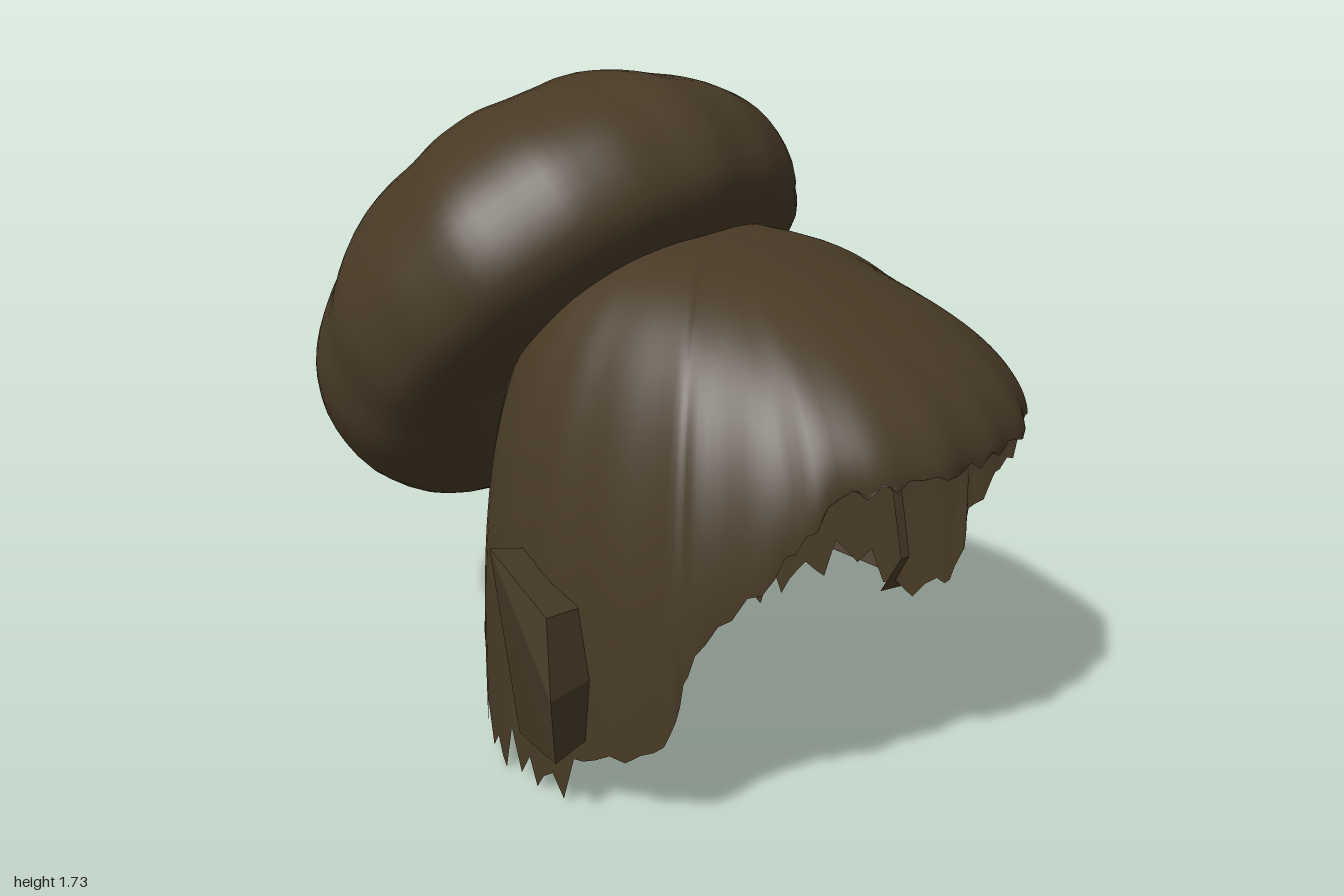
import * as THREE from 'three';

const hair = new THREE.MeshStandardMaterial({ color: 0x483a26, side: THREE.DoubleSide });
hair.name = 'dark brown hair';

const { smoothstep, clamp } = THREE.MathUtils;

// Surface of rows x cols, closed around the columns; fn(u, v, column) gives a point
function wrapGrid(cols, rows, fn) {
  const pos = [], idx = [];
  for (let r = 0; r <= rows; r++) {
    for (let c = 0; c < cols; c++) pos.push(...fn(c / cols, r / rows, c));
  }
  for (let r = 0; r < rows; r++) {
    for (let c = 0; c < cols; c++) {
      const d = (c + 1) % cols, a = r * cols, b = a + cols;
      idx.push(a + c, b + c, a + d, a + d, b + c, b + d);
    }
  }
  const g = new THREE.BufferGeometry();
  g.setAttribute('position', new THREE.Float32BufferAttribute(pos, 3));
  g.setIndex(idx);
  g.computeVertexNormals();
  return g;
}

function part(geometry, name) {
  const m = new THREE.Mesh(geometry, hair);
  m.name = name;
  return m;
}

// Head cap: meridians run from the crown down to a ragged hem, lower on the right side
function capGeometry() {
  let seed = 7;
  const rnd = () => (seed = (seed * 16807) % 2147483647) / 2147483647;
  const front = [[0.2, 1.0, 0.96], [0.38, 0.98, 0.86], [0.48, 0.8, 0.76], [0.57, 0.57, 0.6], [0.6, 0.34, 0.53]];
  const back = [[0.58, 0.12, -0.11], [0.44, 0.14, -0.27], [0.23, 0.18, -0.39]];
  const leftSide = [[0.62, 0.27, 0.32], [0.62, 0.25, 0.06]];
  const rightSide = [[0.63, 0.13, 0.28], [0.63, 0.1, 0.08]];
  const leftHem = [...front, ...leftSide, ...back];
  const rightHem = [...front, ...rightSide, ...back].reverse().map(([x, y, z]) => [-x, y, z]);
  const pts = [[0, 1.0, 0.98], ...leftHem, [0, 0.2, -0.43], ...rightHem];
  const hem = new THREE.CatmullRomCurve3(pts.map(p => new THREE.Vector3(...p)), true);
  const cols = 132, jag = Array.from({ length: cols }, rnd);
  const crown = new THREE.Vector3(0, 1.395, 0.12);
  return wrapGrid(cols, 36, (u, v, c) => {
    const h = hem.getPoint(u);
    const brow = clamp((h.y - 0.1) / 0.9, 0, 1);
    const nape = smoothstep(-h.z, 0.25, 0.4);
    const n = 3.1 - 1.3 * brow;
    // Rows crowd towards the hem
    const t = (1 - Math.pow(1 - v, 1.6)) * Math.PI / 2;
    const ripple = 1 + 0.008 * v * Math.sin(u * Math.PI * 2 * 26);
    const s = Math.pow(Math.sin(t), 2 / n) * ripple;
    const k = Math.pow(Math.max(Math.cos(t), 0), 2 / n);
    const rag = Math.pow(v, 20) * (jag[c] - 0.5) * (h.z < 0.4 && nape < 0.3 ? 0.15 : 0.04);
    const flare = nape * 0.12 * (1 - smoothstep(k, 0.02, 0.11));
    return [
      crown.x + (h.x - crown.x) * s,
      h.y + (crown.y - h.y) * k + rag,
      crown.z + (h.z - crown.z) * s - flare,
    ];
  });
}

// Bun: puffed, slightly squared disc with a dimple, radiating creases and a notch at the low end
function bunGeometry() {
  const profile = new THREE.CatmullRomCurve3([
    [0.001, 0.38], [0.08, 0.42], [0.25, 0.455], [0.42, 0.41], [0.6, 0.28], [0.7, 0.15],
    [0.73, 0.02], [0.69, -0.13], [0.56, -0.2], [0.42, -0.22], [0.2, -0.21], [0.001, -0.21],
  ].map(([r, h]) => new THREE.Vector3(r, h, 0)));
  const g = wrapGrid(96, 40, (u, v) => {
    const a = u * Math.PI * 2;
    const p = profile.getPoint(v);
    const low = Math.max(-Math.cos(a), 0);
    const notch = Math.exp(-Math.pow((a - Math.PI) / 0.14, 2));
    const e = 2.2 - 0.15 * Math.cos(a);
    const square = Math.pow(Math.abs(Math.sin(a)) ** e + Math.abs(Math.cos(a)) ** e, -1 / e);
    const lump = 1 + 0.006 * Math.cos(a * 12) + 0.005 * Math.cos(a * 19);
    const r = p.x * square * (lump - 0.045 * notch);
    const sag = 0.1 * low * Math.min(1, p.x / 0.4) * smoothstep(v, 0.55, 0.75);
    const crease = Math.min(1, p.x * 3) * (0.006 * Math.cos(a * 8) - 0.02 * notch) * (1 - smoothstep(v, 0.4, 0.6));
    return [r * Math.sin(a) * 0.955 - 0.01, p.y - sag + crease, r * Math.cos(a)];
  });
  g.rotateX(-0.806);
  g.translate(0, 1.14, -0.39);
  return g;
}

// Angular side lock: a leaning outer sheet, joined to the cap along its top and front edges
function lockGeometry(outer) {
  const side = Math.sign(outer[0][0]);
  const inner = outer.map(([, y, z]) => [0.58 * side, y * 0.9 + 0.04, z * 0.85 + 0.03]);
  const pos = [];
  // Corner order is swapped on the left so faces point outwards
  const tri = (a, b, c) => pos.push(...a, ...(side > 0 ? [...c, ...b] : [...b, ...c]));
  for (let i = 1; i < outer.length - 1; i++) tri(outer[0], outer[i], outer[i + 1]);
  for (let i = 0; i < 3; i++) {
    tri(outer[i], inner[i], outer[i + 1]);
    tri(outer[i + 1], inner[i], inner[i + 1]);
  }
  const g = new THREE.BufferGeometry();
  g.setAttribute('position', new THREE.Float32BufferAttribute(pos, 3));
  g.computeVertexNormals();
  return g;
}

export function createModel() {
  const group = new THREE.Group();
  group.name = 'hairstyle';
  group.add(part(capGeometry(), 'hairCap'));
  group.add(part(bunGeometry(), 'hairBun'));
  group.add(part(lockGeometry([
    [0.72, 0.78, -0.01], [0.7, 0.68, 0.33], [0.77, 0.35, 0.4],
    [0.73, 0.21, 0.32], [0.61, 0.3, -0.08], [0.66, 0.62, -0.01],
  ]), 'leftSideLock'));
  group.add(part(lockGeometry([
    [-0.7, 0.72, 0.04], [-0.73, 0.62, 0.27], [-0.77, 0.43, 0.32],
    [-0.74, 0.24, 0.3], [-0.63, 0.18, 0.05], [-0.64, 0.5, 0.02],
  ]), 'rightSideLock'));
  return group;
}
